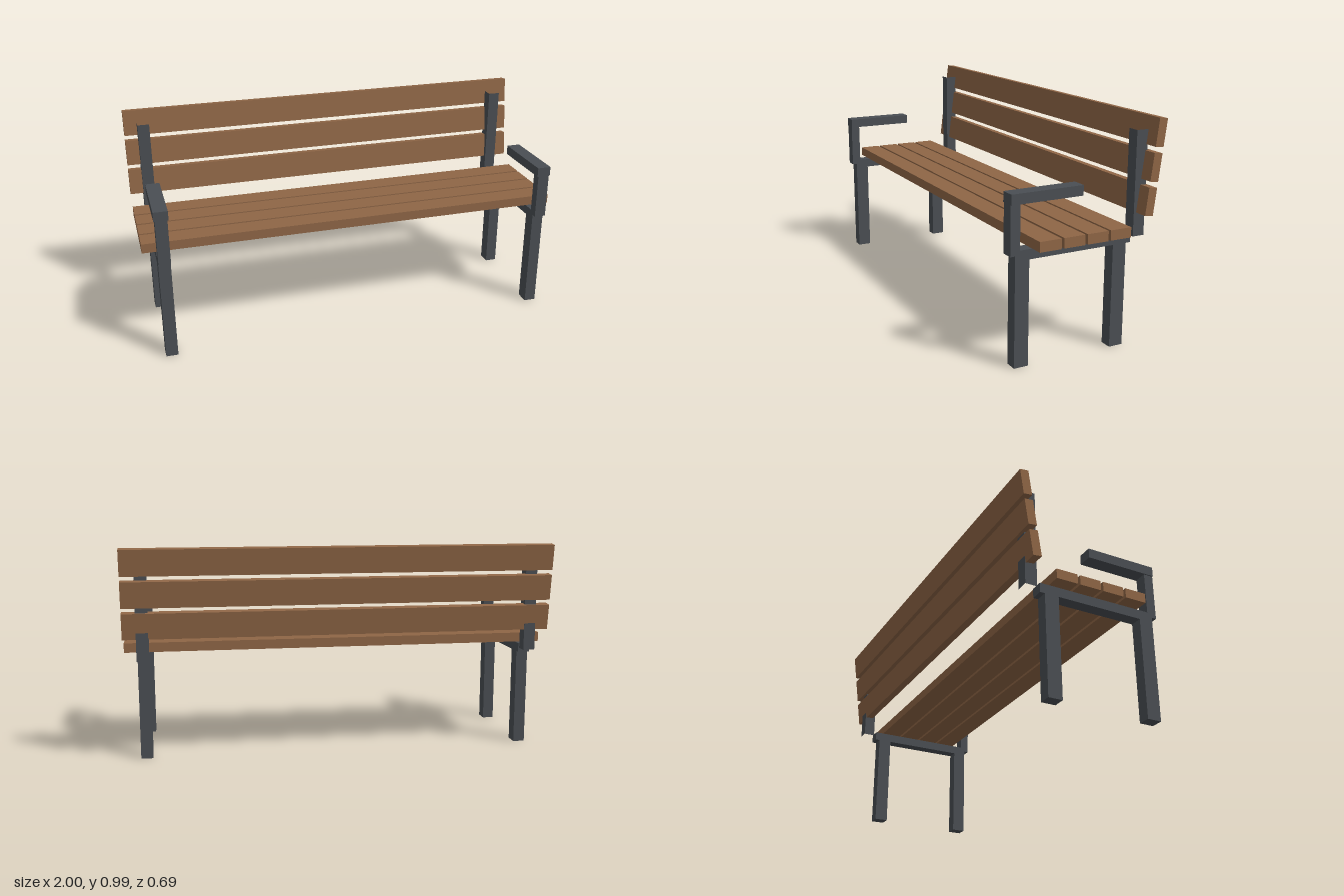
import * as THREE from 'three';

export function createModel() {
  const bench = new THREE.Group();
  bench.name = 'bench';

  const wood = new THREE.MeshStandardMaterial({ color: 0x8f6646 });
  wood.name = 'brown wood';
  const metal = new THREE.MeshStandardMaterial({ color: 0x4a4e53 });
  metal.name = 'dark grey metal';

  // Box given by its centre x, width, and [min, max] in y and z
  function addBox(parent, name, material, x, width, [y0, y1], [z0, z1]) {
    const geometry = new THREE.BoxGeometry(width, y1 - y0, z1 - z0);
    const mesh = new THREE.Mesh(geometry, material);
    mesh.name = name;
    mesh.position.set(x, (y0 + y1) / 2, (z0 + z1) / 2);
    parent.add(mesh);
    return mesh;
  }

  // Seat slats
  for (let i = 0; i < 4; i++) {
    const z = 0.199 - i * 0.1117;
    addBox(bench, 'seatSlat', wood, 0, 2, [0.502, 0.546], [z - 0.05, z + 0.05]);
  }

  // Backrest slats, leaning backwards
  for (let i = 0; i < 3; i++) {
    const slat = new THREE.Mesh(new THREE.BoxGeometry(2, 0.12, 0.04), wood);
    slat.name = 'backSlat';
    slat.position.set(0, 0.641 + i * 0.1437, -0.281 - i * 0.0187);
    slat.rotation.x = -0.13;
    bench.add(slat);
  }

  // Metal frame at each end
  for (const side of [-1, 1]) {
    const frame = new THREE.Group();
    frame.name = side < 0 ? 'rightFrame' : 'leftFrame';
    frame.position.x = side * 0.911;
    bench.add(frame);

    addBox(frame, 'frontLeg', metal, 0, 0.055, [0, 0.458], [0.26, 0.325]);
    addBox(frame, 'backLeg', metal, 0, 0.055, [0, 0.458], [-0.207, -0.142]);
    addBox(frame, 'seatRail', metal, 0, 0.055, [0.458, 0.501], [-0.229, 0.325]);
    addBox(frame, 'armPost', metal, 0, 0.055, [0.48, 0.691], [0.303, 0.347]);
    addBox(frame, 'armRest', metal, 0, 0.065, [0.691, 0.735], [0.015, 0.347]);

    // Back upright: a square tube with open ends
    const upright = addBox(frame, 'backUpright', metal, 0, 0.055, [0.48, 0.935], [-0.297, -0.242]);
    const index = Array.from(upright.geometry.index.array);
    upright.geometry.setIndex([...index.slice(0, 12), ...index.slice(24)]);
    upright.geometry.clearGroups();
  }

  return bench;
}
